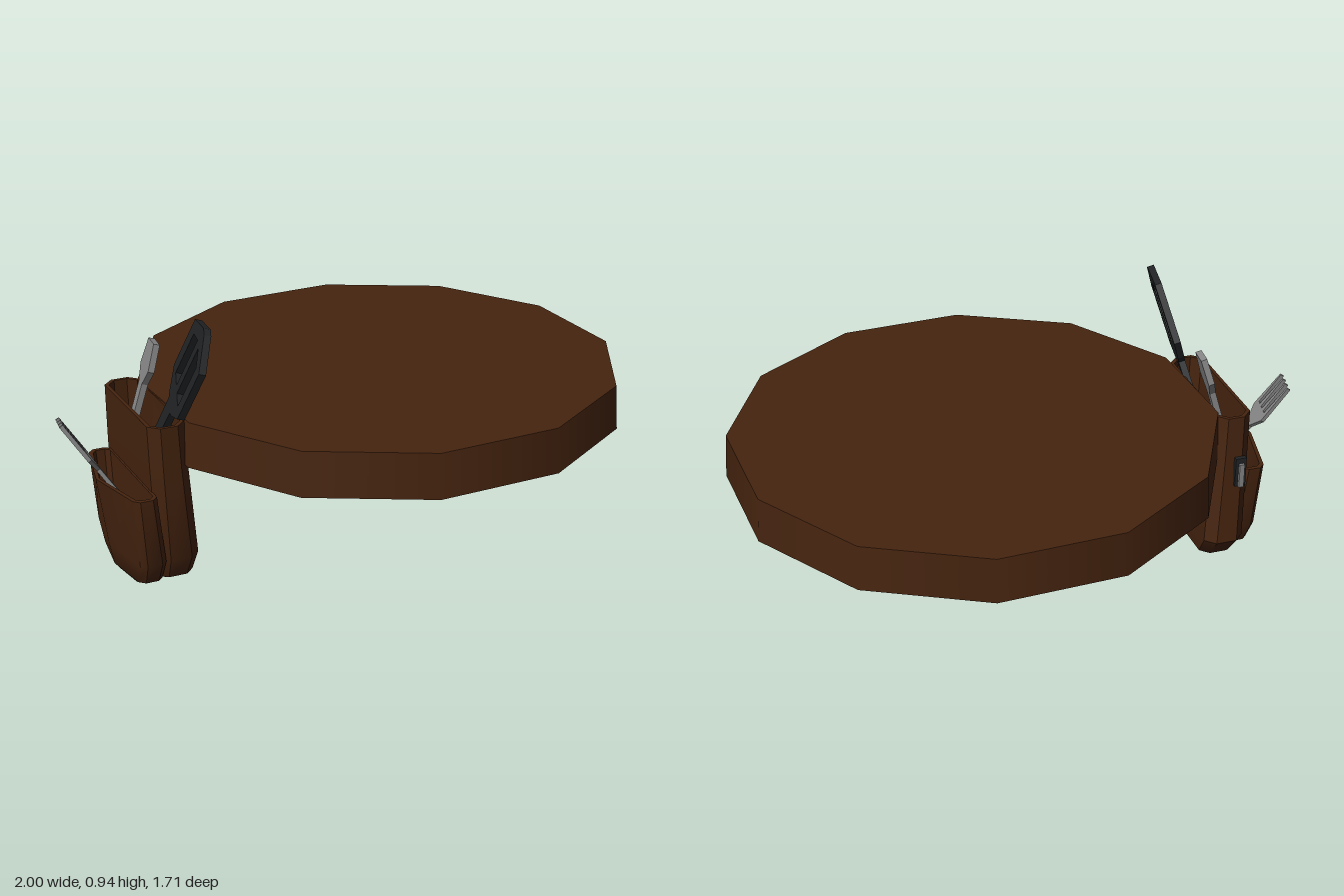
import * as THREE from 'three';
import { toCreasedNormals } from 'three/addons/utils/BufferGeometryUtils.js';

const V = (x, y, z) => new THREE.Vector3(x, y, z);

// Chamfered rectangle at height y; the outer (-z) side may bulge by b
function ring([y, x0, x1, z0, z1, c, b = 0]) {
  const m = (x0 + x1) / 2;
  return [
    [x0 + c, y, z1], [x1 - c, y, z1], [x1, y, z1 - c], [x1, y, z0 + c],
    [x1 - c, y, z0], [m, y, z0 - b], [x0 + c, y, z0], [x0, y, z0 + c], [x0, y, z1 - c],
  ];
}

// Skin a stack of rings, closing the first and last
function loft(rows) {
  const rings = rows.map(ring), n = rings[0].length, pos = [], idx = [];
  rings.forEach(r => r.forEach(p => pos.push(...p)));
  for (let i = 0; i < rings.length - 1; i++) {
    for (let j = 0; j < n; j++) {
      const a = i * n + j, b = i * n + (j + 1) % n;
      idx.push(a, b, b + n, a, b + n, a + n);
    }
  }
  const top = (rings.length - 1) * n;
  for (let j = 1; j < n - 1; j++) {
    idx.push(0, j + 1, j, top, top + j, top + j + 1);
  }
  const g = new THREE.BufferGeometry();
  g.setAttribute('position', new THREE.Float32BufferAttribute(pos, 3));
  g.setIndex(idx);
  return toCreasedNormals(g, 0.6);
}

// Flat outline from [w, u] points
const outline = pts => new THREE.Shape(pts.map(p => new THREE.Vector2(...p)));

// Right half of a symmetrical outline, mirrored
const mirrored = half => outline([...half, ...half.slice().reverse().map(([w, u]) => [-w, u])]);

// Extruded outline placed by its centre, width and length directions
function utensil(name, shape, depth, material, centre, w, u) {
  const g = new THREE.ExtrudeGeometry(shape, { depth, bevelEnabled: false });
  g.translate(0, 0, -depth / 2);
  w.normalize();
  const n = w.clone().cross(u).normalize();
  const up = n.clone().cross(w);
  g.applyMatrix4(new THREE.Matrix4().makeBasis(w, up, n).setPosition(centre));
  const mesh = new THREE.Mesh(g, material);
  mesh.name = name;
  return mesh;
}

export function createModel() {
  const model = new THREE.Group();
  model.name = 'roundBoardWithUtensilPouch';
  const brown = new THREE.MeshStandardMaterial({ name: 'dark brown', color: 0x46240f });
  const black = new THREE.MeshStandardMaterial({ name: 'black', color: 0x212325 });
  const silver = new THREE.MeshStandardMaterial({ name: 'silver', color: 0x868686 });

  const add = (parent, name, geometry, material) => {
    const mesh = new THREE.Mesh(geometry, material);
    mesh.name = name;
    parent.add(mesh);
    return mesh;
  };

  // Twelve-sided round board
  add(model, 'roundBoard', new THREE.CylinderGeometry(0.848, 0.857, 0.157, 12), brown)
    .position.set(0.138, 0.5165, 0);

  // Pouch: local x runs to the back, local -z faces outwards
  const pouch = new THREE.Group();
  pouch.name = 'pouch';
  pouch.matrixAutoUpdate = true;
  pouch.position.set(-0.77, 0, -0.02);
  pouch.rotation.y = Math.atan2(0.954, 0.3);
  model.add(pouch);

  add(pouch, 'pouchBody', loft([
    [0.005, 0.09, 0.41, -0.02, 0.05, 0.02],
    [0.03, 0.04, 0.46, -0.04, 0.085, 0.03],
    [0.11, 0.0, 0.525, -0.05, 0.095, 0.035],
    [0.44, 0.0, 0.495, -0.065, 0.068, 0.035],
    [0.59, 0.0, 0.485, -0.07, 0.06, 0.035],
    [0.59, 0.012, 0.473, -0.058, 0.048, 0.03],
    [0.4, 0.012, 0.478, -0.053, 0.055, 0.03],
  ]), brown);

  add(pouch, 'outerPocket', loft([
    [0, 0.1, 0.34, -0.1, -0.03, 0.015, 0.015],
    [0.03, 0.03, 0.41, -0.115, -0.03, 0.02, 0.025],
    [0.11, -0.015, 0.45, -0.122, -0.03, 0.02, 0.035],
    [0.355, -0.025, 0.46, -0.142, -0.058, 0.02, 0.05],
    [0.355, -0.01, 0.445, -0.13, -0.068, 0.015, 0.05],
    [0.22, -0.005, 0.44, -0.12, -0.064, 0.015, 0.045],
  ]), brown);

  // Metal clip on the back end
  add(pouch, 'clipPlate', new THREE.BoxGeometry(0.016, 0.11, 0.04), black)
    .position.set(0.505, 0.385, -0.02);
  add(pouch, 'clipBar', new THREE.BoxGeometry(0.016, 0.09, 0.018), silver)
    .position.set(0.516, 0.375, -0.02);

  // Slotted spatula
  const blade = mirrored([
    [0.03, -0.42], [0.035, -0.18], [0.06, -0.165], [0.122, -0.11], [0.122, 0.11], [0.015, 0.18],
  ]);
  for (const s of [-1, 1]) {
    const slot = [[0.018, -0.1], [0.075, -0.1], [0.075, 0.09], [0.018, 0.12]];
    blade.holes.push(new THREE.Path(slot.map(([w, u]) => new THREE.Vector2(s * w, u))));
  }
  model.add(utensil('spatula', blade, 0.024, black,
    V(-0.7, 0.777, 0), V(0.537, 0.438, -0.723), V(0.05, 0.88, 0.47)));

  // Small paddle
  const paddle = mirrored([
    [0.018, -0.28], [0.02, -0.07], [0.052, -0.015], [0.035, 0.08],
  ]);
  model.add(utensil('paddle', paddle, 0.022, silver,
    V(-0.625, 0.69, -0.32), V(0.4, 0, -0.92), V(0.05, 0.16, 0.005)));

  // Four-tined fork
  const tines = [];
  for (let i = 0; i < 4; i++) {
    const w = 0.045 - i * 0.03;
    tines.push([w + 0.009, 0.07], [w + 0.004, 0.2], [w - 0.004, 0.2], [w - 0.009, 0.07]);
  }
  const fork = outline([
    [-0.054, 0.045], [-0.015, -0.01], [-0.015, -0.16], [0.015, -0.16], [0.015, -0.01],
    [0.054, 0.045], ...tines,
  ]);
  model.add(utensil('fork', fork, 0.014, silver,
    V(-0.885, 0.4, -0.285), V(0.45, -0.1, -0.88), V(-0.535, 0.83, -0.17)));

  return model;
}
